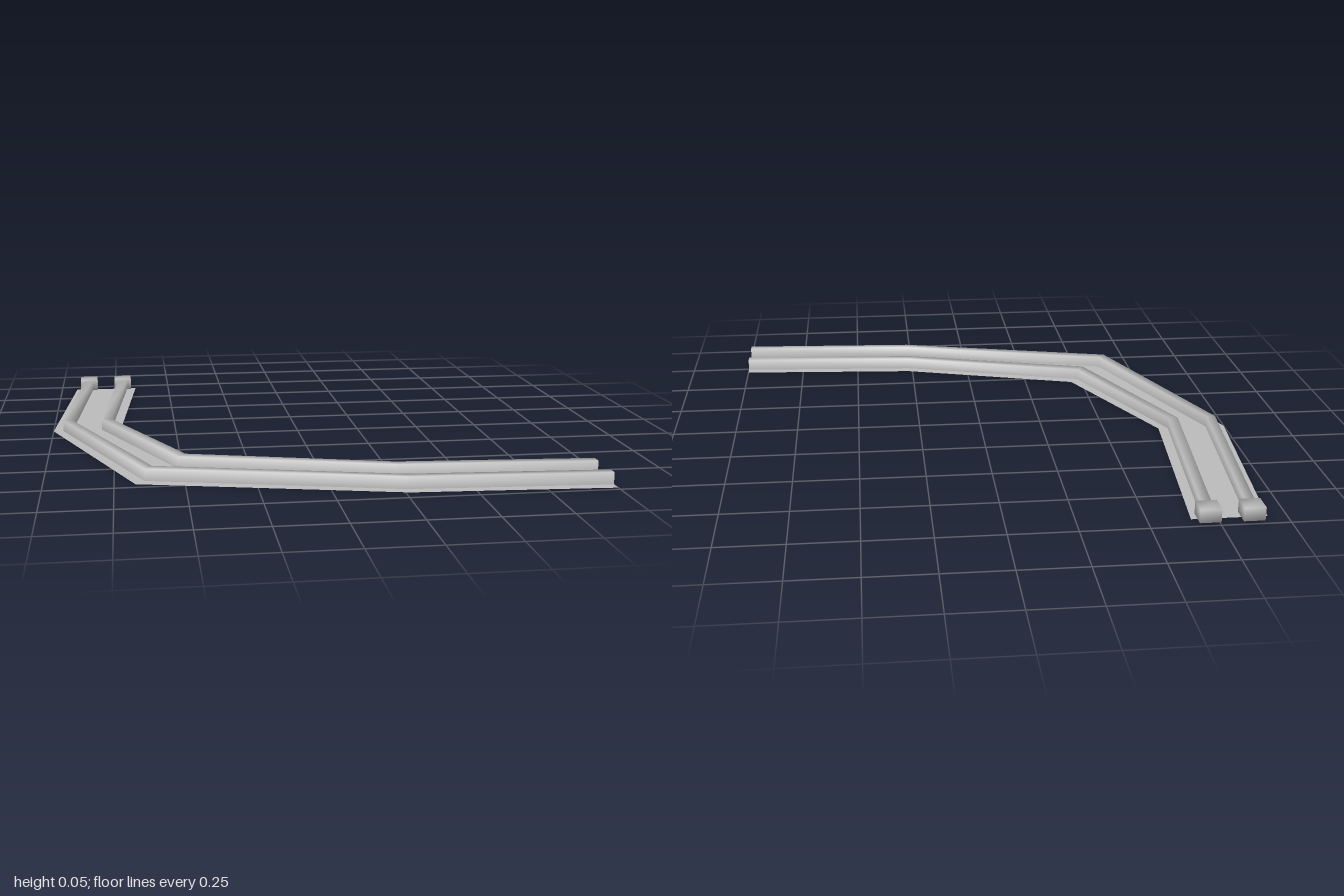
import * as THREE from 'three';
import { mergeVertices } from 'three/addons/utils/BufferGeometryUtils.js';

// Outer and inner border of the curved track, as [x, z] stations
const OUTER = [[-0.93, -0.945], [-1, -0.12], [-0.675, 0.71], [0.265, 0.94], [1, 0.98]];
const INNER = [[-0.655, -0.945], [-0.725, -0.125], [-0.455, 0.445], [0.265, 0.655], [1, 0.705]];
const RAIL_HEIGHT = 0.045;

// Sweep a cross-section of [fraction across, height] points along the track
function sweep(profile) {
  const positions = [], index = [], n = profile.length;
  OUTER.forEach(([ox, oz], s) => {
    const [ix, iz] = INNER[s];
    for (const [t, y] of profile) positions.push(ox + (ix - ox) * t, y, oz + (iz - oz) * t);
    if (s === 0) return;
    for (let k = 0; k < n - 1; k++) {
      const a = (s - 1) * n + k, b = s * n + k;
      index.push(a, b, a + 1, b, b + 1, a + 1);
    }
  });
  const geometry = new THREE.BufferGeometry();
  geometry.setAttribute('position', new THREE.Float32BufferAttribute(positions, 3));
  geometry.setIndex(index);
  geometry.computeVertexNormals();
  return geometry;
}

// Box with shared corners, so its shading runs smoothly round the edges
function softBox(w, h, d) {
  const box = new THREE.BoxGeometry(w, h, d);
  box.deleteAttribute('uv');
  box.deleteAttribute('normal');
  const geometry = mergeVertices(box);
  geometry.computeVertexNormals();
  return geometry;
}

export function createModel() {
  const group = new THREE.Group();
  const steel = new THREE.MeshStandardMaterial({ color: 0xbbbbbb, side: THREE.DoubleSide });
  steel.name = 'grey steel';

  const add = (name, geometry) => {
    const mesh = new THREE.Mesh(geometry, steel);
    mesh.name = name;
    group.add(mesh);
    return mesh;
  };

  // Flat bed strips beside and between the rails
  const strips = { outerBed: [0, 0.145], middleBed: [0.28, 0.715], innerBed: [0.86, 1] };
  for (const [name, [a, b]] of Object.entries(strips)) add(name, sweep([[a, 0], [b, 0]]));

  // Hollow raised rails, open underneath
  const rails = { outerRail: [0.145, 0.28], innerRail: [0.715, 0.86] };
  for (const [name, [a, b]] of Object.entries(rails)) {
    add(name, sweep([[a, 0], [a, RAIL_HEIGHT], [b, RAIL_HEIGHT], [b, 0]]));
  }

  // Stop blocks closing the rails at the back end
  const blocks = { outerStopBlock: -0.872, innerStopBlock: -0.715 };
  for (const [name, x] of Object.entries(blocks)) {
    add(name, softBox(0.077, 0.05, 0.077)).position.set(x, 0.029, -0.947);
  }

  return group;
}
